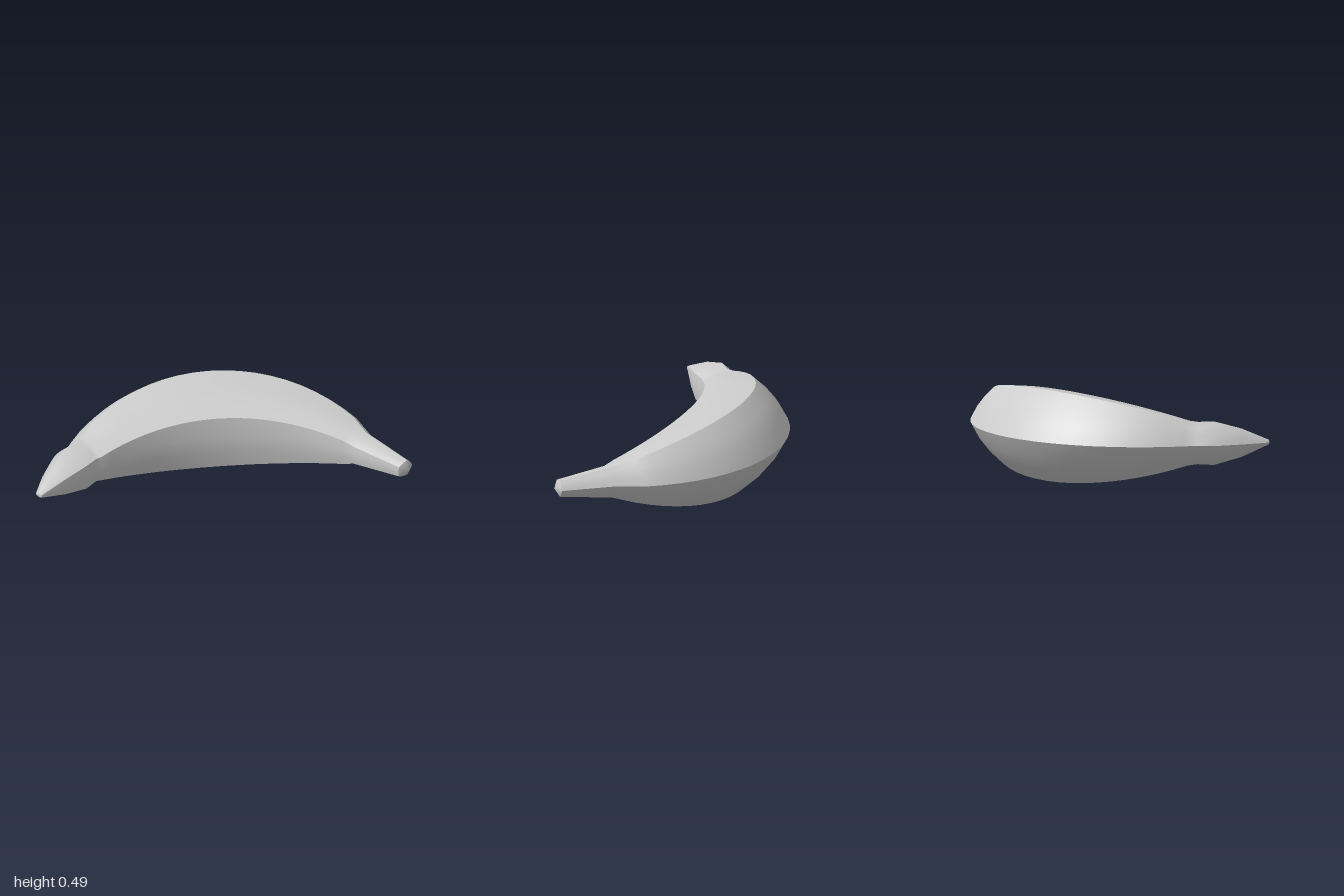
import * as THREE from 'three';

const MID_Y = 0.243;
const N = 3; // segments per bulged side

// Upper half of the five-sided section: [depth from back ridge 0..1, height -1..1]
const half = [[0, 0], [0.1, 0.39], [0.22, 0.71], [0.37, 1], [0.6, 0.94], [0.79, 0.81], [0.97, 0.63], [1, 0.21]];
const section = [...half, ...half.slice(1).reverse().map(([t, y]) => [t, -y]), [0, 0]];

// Stations along the fruit: outer x,z / inner x,z / half height
function makeStations() {
  const list = [
    [-1, 0.4, -0.972, 0.432, 0.012],
    [-0.948, 0.255, -0.835, 0.362, 0.075],
    [-0.88, 0.11, -0.71, 0.29, 0.115],
    [-0.81, 0.055, -0.652, 0.23, 0.112],
  ];
  for (let i = -10; i <= 10; i++) {
    const s = i / 10, a = s * Math.PI / 3;
    const xi = s < 0 ? 0.625 * s : 0.65 * s;
    list.push([
      0.896 * Math.sin(a), 0.44 - 0.896 * Math.cos(a),
      xi, 1.424 - Math.sqrt(1.354 ** 2 - xi * xi),
      0.243 - 0.125 * s * s,
    ]);
  }
  list.push([0.83, 0.14, 0.7, 0.265, 0.086], [1, 0.385, 0.92, 0.447, 0.046]);
  return list;
}

function sectionPoint([ox, oz, ix, iz, h], [t, y]) {
  return [ox + (ix - ox) * t, MID_Y + h * y, oz + (iz - oz) * t];
}

// One smooth side between two ridges
function sideGeometry(stations, first) {
  const positions = [], index = [], row = N + 1;
  stations.forEach((st, j) => {
    for (let k = 0; k <= N; k++) positions.push(...sectionPoint(st, section[first + k]));
    if (j === 0) return;
    for (let k = 0; k < N; k++) {
      const a = (j - 1) * row + k, b = a + row;
      index.push(a, a + 1, b, a + 1, b + 1, b);
    }
  });
  const g = new THREE.BufferGeometry();
  g.setAttribute('position', new THREE.Float32BufferAttribute(positions, 3));
  g.setIndex(index);
  g.computeVertexNormals();
  return g;
}

// Shallow dome closing one end
function capGeometry(station, apex, flip) {
  const positions = [...apex], index = [];
  for (let k = 0; k < section.length - 1; k++) positions.push(...sectionPoint(station, section[k]));
  const n = section.length - 1;
  for (let k = 0; k < n; k++) {
    const a = 1 + k, b = 1 + (k + 1) % n;
    index.push(0, flip ? b : a, flip ? a : b);
  }
  const g = new THREE.BufferGeometry();
  g.setAttribute('position', new THREE.Float32BufferAttribute(positions, 3));
  g.setIndex(index);
  g.computeVertexNormals();
  return g;
}

export function createModel() {
  const group = new THREE.Group();
  group.name = 'banana';
  const skin = new THREE.MeshStandardMaterial({ color: 0xcccccc });
  skin.name = 'light grey skin';
  const add = (name, geometry) => {
    const mesh = new THREE.Mesh(geometry, skin);
    mesh.name = name;
    group.add(mesh);
  };

  // Peel: five bulged sides meeting at sharp ridges
  const stations = makeStations();
  ['upperBackSide', 'upperFrontSide', 'innerSide', 'lowerFrontSide', 'lowerBackSide']
    .forEach((name, i) => add(name, sideGeometry(stations, i * N)));

  // Ends
  add('stemEnd', capGeometry(stations[stations.length - 1], [0.977, MID_Y, 0.438], false));
  add('blossomTip', capGeometry(stations[0], [-0.988, MID_Y, 0.42], true));
  return group;
}
